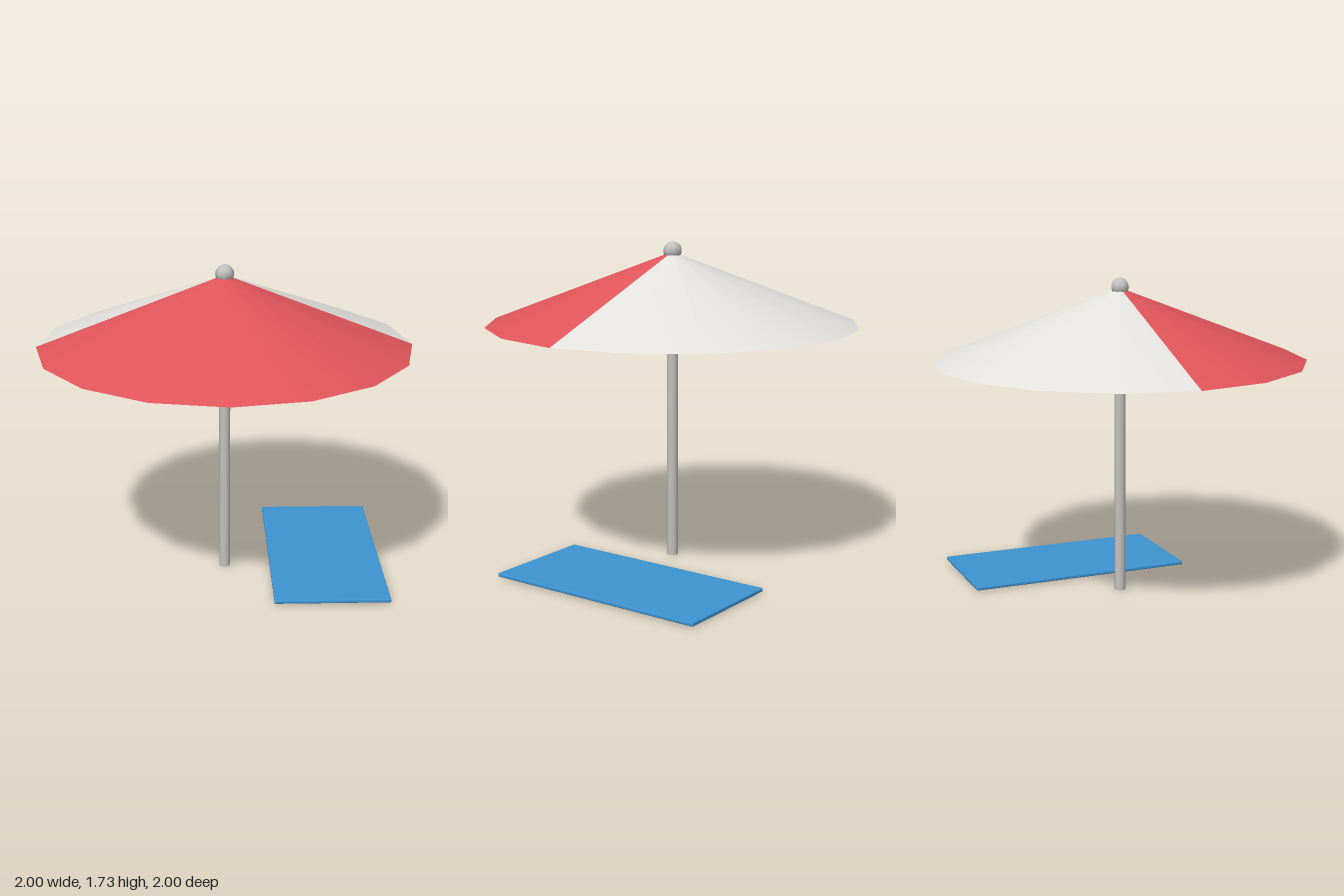
import * as THREE from 'three';
import { RoundedBoxGeometry } from 'three/addons/geometries/RoundedBoxGeometry.js';

const RIM_Y = 1.285, APEX_Y = 1.67, SIDES = 16;

function material(name, color, side = THREE.FrontSide) {
  const m = new THREE.MeshStandardMaterial({ color, side });
  m.name = name;
  return m;
}

export function createModel() {
  const model = new THREE.Group();
  model.name = 'beachParasolAndTowel';

  const red = material('red', 0xe0555a);
  const white = material('white', 0xe4e2de);
  const metal = material('metal', 0xc4c2c0);
  const blue = material('blue', 0x3d94d3);

  const add = (name, geometry, mat, x, y, z) => {
    const mesh = new THREE.Mesh(geometry, mat);
    mesh.name = name;
    mesh.position.set(x, y, z);
    model.add(mesh);
    return mesh;
  };

  // Canopy: two half cones, red in front and white behind
  const height = APEX_Y - RIM_Y;
  const halfCone = (start) =>
    new THREE.ConeGeometry(1, height, SIDES / 2, 1, true, start, Math.PI);
  add('canopyFront', halfCone(-Math.PI / 2), red, 0, RIM_Y + height / 2, 0);
  add('canopyBack', halfCone(Math.PI / 2), white, 0, RIM_Y + height / 2, 0);

  // Flat underside closing the canopy
  add('canopyUnderside', new THREE.CircleGeometry(1, SIDES), red, 0, RIM_Y, 0)
    .rotation.x = Math.PI / 2;

  // Pole and the ball on top
  add('pole', new THREE.CylinderGeometry(0.03, 0.03, 1.65, 12), metal, 0, 0.825, 0);
  add('finial', new THREE.SphereGeometry(0.05, 8, 8), metal, 0, 1.675, 0);

  // Towel lying beside the pole
  add('towel', new RoundedBoxGeometry(0.62, 0.02, 1.25, 2, 0.006), blue, 0.56, 0.015, -0.125);

  return model;
}
